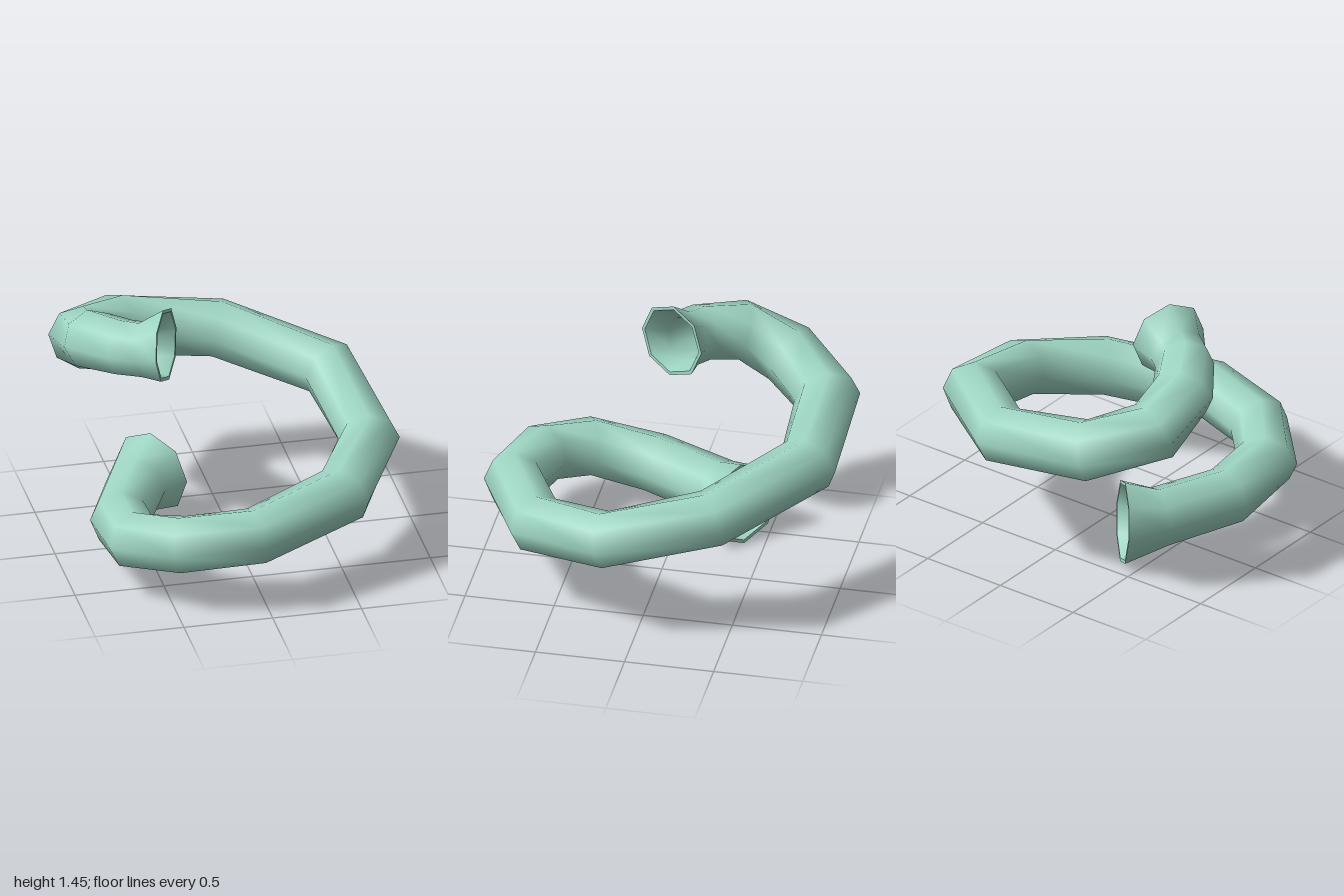
import * as THREE from 'three';

const SIDES = 8;

// Centre line of the coil from the lower mouth to the upper mouth: x, y, z, radius
const PATH = [
  [-0.37, 0.25, -0.375, 0.245],
  [-0.5, 0.255, -0.21, 0.17],
  [-0.67, 0.27, 0.18, 0.165],
  [-0.67, 0.33, 0.54, 0.163],
  [-0.45, 0.39, 0.76, 0.163],
  [-0.055, 0.44, 0.84, 0.16],
  [0.485, 0.51, 0.595, 0.165],
  [0.73, 0.61, 0.165, 0.16],
  [0.63, 0.76, -0.41, 0.16],
  [0.105, 0.85, -0.84, 0.165],
  [-0.465, 0.94, -0.83, 0.174],
  [-0.725, 1.03, -0.56, 0.174],
  [-0.725, 1.15, -0.3, 0.168],
  [-0.59, 1.19, -0.1, 0.16],
  [-0.49, 1.2, -0.03, 0.16],
  [-0.38, 1.243, 0.025, 0.213],
];

// Directions along the path at the two mouths
const START_DIR = new THREE.Vector3(-0.7, -0.06, 0.71).normalize();
const END_DIR = new THREE.Vector3(0.88, 0.08, 0.47).normalize();

// One ring of points per path point, lying in the mitre plane of the bend
function makeRings(inset) {
  const up = new THREE.Vector3(0, 1, 0);
  const centres = PATH.map(([x, y, z]) => new THREE.Vector3(x, y, z));
  const last = PATH.length - 1;
  return centres.map((c, i) => {
    let tangent, stretch = 1;
    if (i === 0) {
      tangent = START_DIR.clone();
      stretch = 0.93;
    } else if (i === last) {
      tangent = END_DIR.clone();
    } else {
      const a = c.clone().sub(centres[i - 1]).normalize();
      const b = centres[i + 1].clone().sub(c).normalize();
      tangent = a.clone().add(b).normalize();
      stretch = Math.min(1.06, 1 / tangent.dot(a));
    }
    const side = up.clone().cross(tangent).normalize();
    const rise = tangent.clone().cross(side);
    const r = PATH[i][3] - inset(i, last);
    return Array.from({ length: SIDES }, (_, k) => {
      const t = (k / SIDES) * Math.PI * 2;
      return c.clone()
        .addScaledVector(side, Math.cos(t) * r * stretch)
        .addScaledVector(rise, Math.sin(t) * r);
    });
  });
}

// Joins successive rings with quads
function skin(rings) {
  const index = [];
  for (let i = 0; i < rings.length - 1; i++) {
    for (let k = 0; k < SIDES; k++) {
      const n = (k + 1) % SIDES;
      const a = i * SIDES + k, b = i * SIDES + n;
      const c = b + SIDES, d = a + SIDES;
      index.push(a, b, c, a, c, d);
    }
  }
  const geometry = new THREE.BufferGeometry().setFromPoints(rings.flat());
  geometry.setIndex(index);
  geometry.computeVertexNormals();
  return geometry;
}

export function createModel() {
  const model = new THREE.Group();
  model.name = 'coiledPipe';
  const material = new THREE.MeshStandardMaterial({ color: 0x9fd6c4 });
  material.name = 'paleSeaGreen';

  const outer = makeRings(() => 0);
  const inner = makeRings((i, last) => (i === 0 || i === last ? 0.02 : 0.035));
  const last = PATH.length - 1;

  const parts = {
    outerWall: outer,
    innerWall: [...inner].reverse(),
    lowerRim: [inner[0], outer[0]],
    upperRim: [outer[last], inner[last]],
  };
  for (const [name, rings] of Object.entries(parts)) {
    const mesh = new THREE.Mesh(skin(rings), material);
    mesh.name = name;
    model.add(mesh);
  }
  return model;
}
